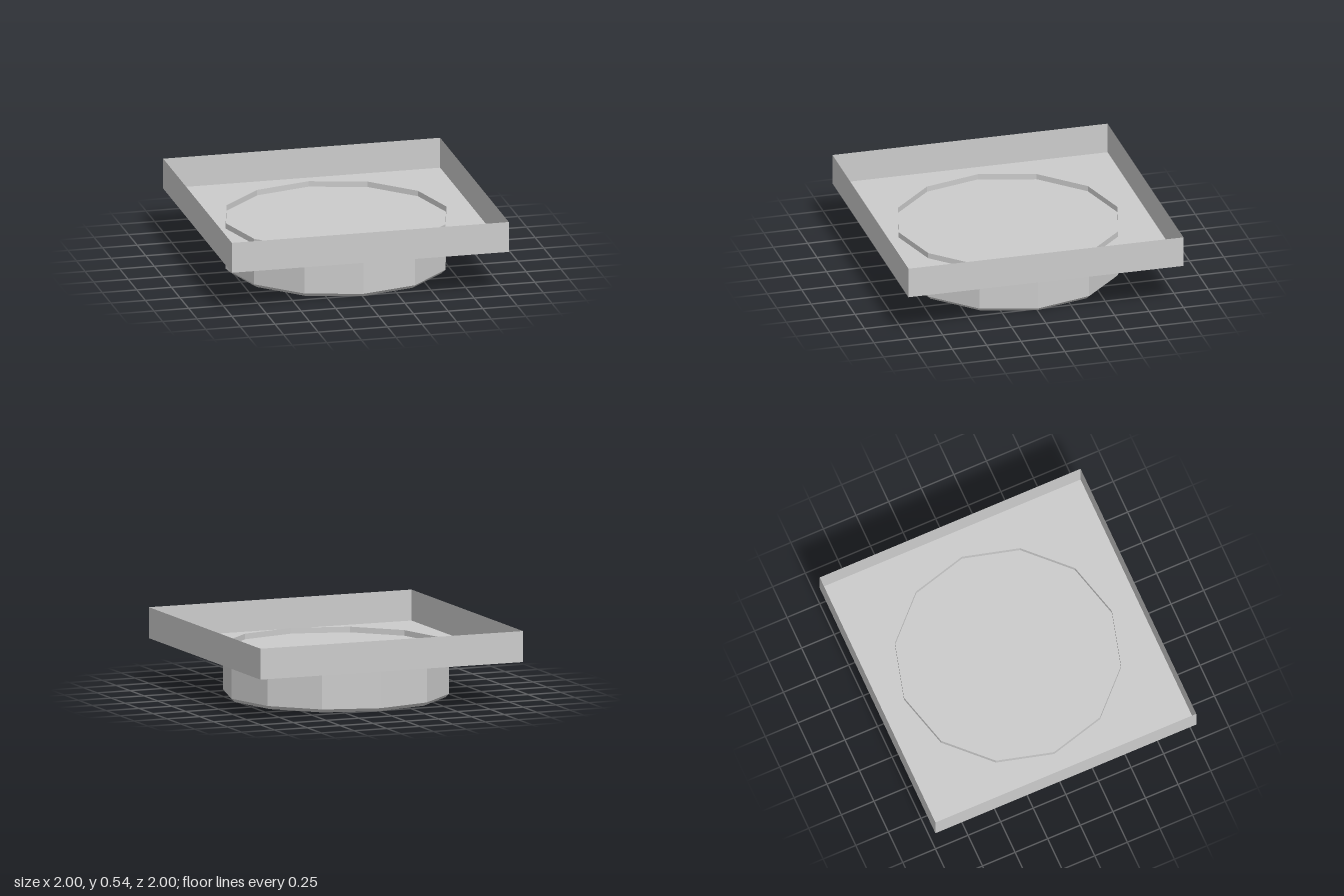
import * as THREE from 'three';

export function createModel() {
  const group = new THREE.Group();
  const material = new THREE.MeshStandardMaterial({
    color: 0xcccccc, flatShading: true, side: THREE.DoubleSide,
  });
  const floorY = 0.32, topY = 0.54;

  const add = (name, geometry, parent = group) => {
    const mesh = new THREE.Mesh(geometry, material);
    mesh.name = name;
    parent.add(mesh);
    return mesh;
  };

  // Open square tray: thin floor and four thin walls
  const tray = new THREE.Group();
  tray.name = 'tray';
  group.add(tray);
  add('trayFloor', new THREE.PlaneGeometry(2, 2).rotateX(-Math.PI / 2).translate(0, floorY, 0), tray);
  for (let i = 0; i < 4; i++) {
    const wall = new THREE.PlaneGeometry(2, topY - floorY)
      .translate(0, (topY + floorY) / 2, 1)
      .rotateY(i * Math.PI / 2);
    add('trayWall', wall, tray);
  }

  // Twelve-sided base: conical hollow, bevelled foot ring, outer wall
  // and a low lip standing above the tray floor
  const profile = [
    [0, 0.27], [0.64, 0.1], [0.64, 0.025], [0.66, 0],
    [0.772, 0], [0.797, 0.025], [0.797, 0.36],
  ].map(([r, y]) => new THREE.Vector2(r, y));
  add('base', new THREE.LatheGeometry(profile, 12));

  return group;
}
